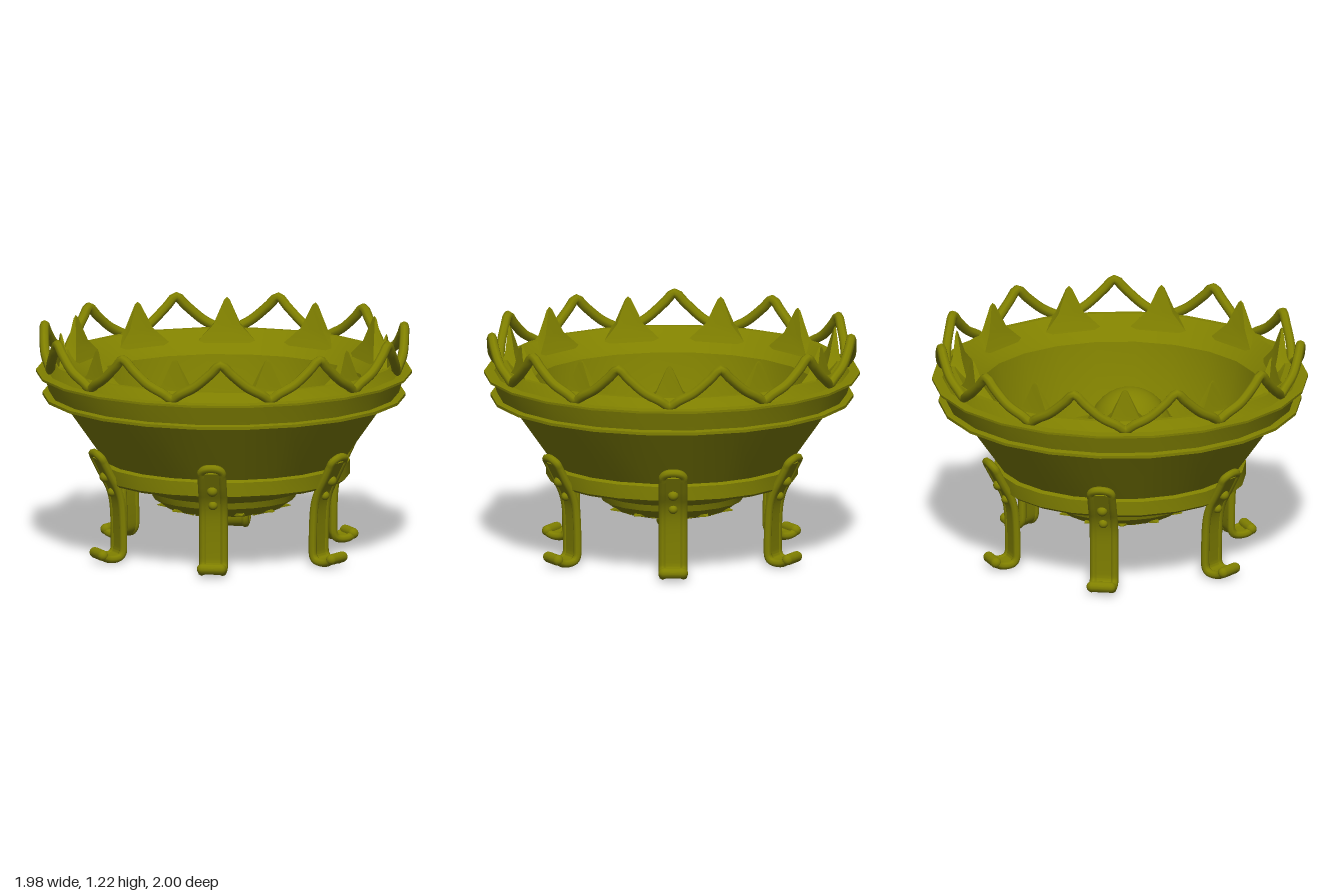
import * as THREE from 'three';
import { toCreasedNormals } from 'three/addons/utils/BufferGeometryUtils.js';

const mat = new THREE.MeshStandardMaterial({ color: 0x808000, side: THREE.DoubleSide });
const v2 = ([x, y]) => new THREE.Vector2(x, y);
const v3 = ([x, y, z]) => new THREE.Vector3(x, y, z);
const POINTS = 11;

function add(parent, name, geometry, x = 0, y = 0, z = 0) {
  const mesh = new THREE.Mesh(geometry, mat);
  mesh.name = name;
  mesh.position.set(x, y, z);
  parent.add(mesh);
  return mesh;
}

// Group whose local +x points outwards at an angle measured from +x towards +z
function spoke(parent, name, angle) {
  const g = new THREE.Group();
  g.name = name;
  g.rotation.y = -angle;
  parent.add(g);
  return g;
}

// Closed bowl section: hollow underside, dish, band, flared wall, rim, inside
function bowlGeometry() {
  const profile = [
    [0, 0.36], [0.18, 0.33], [0.25, 0.27], [0.27, 0.245], [0.31, 0.25], [0.34, 0.275],
    [0.38, 0.3], [0.39, 0.335], [0.46, 0.36], [0.55, 0.41], [0.65, 0.41], [0.67, 0.425],
    [0.67, 0.5], [0.645, 0.51], [0.885, 0.85], [0.965, 0.845], [0.965, 0.86], [0.93, 0.865],
    [0.96, 0.965], [1, 0.97], [1, 0.982], [0.945, 0.985], [0.91, 1.035], [0.88, 1.035],
    [0.77, 0.94], [0.75, 0.92], [0.7, 0.7], [0.62, 0.53], [0.5, 0.46], [0, 0.44],
  ].map(v2);
  return toCreasedNormals(new THREE.LatheGeometry(profile, 22), 0.5);
}

// Lumpy bed: a disc lifted by rounded mounds
function bedGeometry() {
  // x, z, radius, height
  const mounds = [
    [0, -0.46, 0.22, 0.24], [-0.42, -0.05, 0.17, 0.18], [0.44, -0.2, 0.2, 0.12],
    [0.15, 0.03, 0.18, 0.12], [0.09, 0.35, 0.23, 0.25], [-0.05, -0.04, 0.24, 0.1],
    [-0.35, -0.28, 0.13, 0.05], [-0.32, 0.2, 0.12, 0.06], [0.26, -0.28, 0.2, 0.06],
  ];
  const geo = new THREE.RingGeometry(0.001, 0.64, 72, 32);
  geo.rotateX(-Math.PI / 2);
  const p = geo.attributes.position;
  for (let i = 0; i < p.count; i++) {
    const x = p.getX(i), z = p.getZ(i);
    let top = 0, soft = 0;
    for (const [mx, mz, r, h] of mounds) {
      const d2 = ((x - mx) ** 2 + (z - mz) ** 2) / (r * r);
      top = Math.max(top, h * Math.sqrt(Math.max(0, 1 - d2)));
      soft += h * 0.45 * Math.exp(-d2 * 0.9);
    }
    p.setY(i, 0.54 + Math.max(top, soft));
  }
  geo.computeVertexNormals();
  return geo;
}

// Wavy crown wire rising to a peak and dipping to a valley
function crownGeometry() {
  const half = Math.PI / POINTS;
  // fraction of the half step from the peak, height, radius
  const side = [[0, 1.195, 0.965], [0.2, 1.145, 0.96], [0.52, 1.07, 0.95], [0.82, 1.025, 0.935], [1, 0.995, 0.925]];
  const pts = [];
  const put = (a, y, r) => pts.push(v3([r * Math.cos(a), y, r * Math.sin(a)]));
  for (let k = 0; k < POINTS; k++) {
    const a = k * 2 * half;
    for (const [f, y, r] of side) put(a + f * half, y, r);
    for (const [f, y, r] of side.slice(1, -1).reverse()) put(a + (2 - f) * half, y, r);
  }
  return new THREE.TubeGeometry(new THREE.CatmullRomCurve3(pts, true), 352, 0.026, 8, true);
}

// Four-sided point with slightly hollow sides, unit size
function spikeGeometry() {
  const geo = new THREE.LatheGeometry([[1, 0], [0.43, 0.4], [0.09, 0.94], [0, 1]].map(v2), 4);
  geo.rotateY(Math.PI / 4);
  geo.scale(Math.SQRT2, 1, Math.SQRT2);
  return toCreasedNormals(geo, 0.5);
}

// Strap centre line (radius, height) from top to curled toe
const legLine = new THREE.SplineCurve([
  [0.74, 0.57], [0.69, 0.475], [0.645, 0.39], [0.622, 0.29], [0.615, 0.1],
  [0.622, 0.045], [0.65, 0.025], [0.7, 0.025], [0.735, 0.042],
].map(v2));

// Flat strap extruded from the offset centre line
function strapGeometry(width, thick) {
  const front = [], back = [];
  for (let i = 0; i <= 40; i++) {
    const p = legLine.getPoint(i / 40), t = legLine.getTangent(i / 40);
    const n = new THREE.Vector2(-t.y, t.x).multiplyScalar(thick / 2);
    front.push(p.clone().add(n));
    back.unshift(p.clone().sub(n));
  }
  const geo = new THREE.ExtrudeGeometry(new THREE.Shape([...front, ...back]), { depth: width, bevelEnabled: false });
  geo.translate(0, 0, -width / 2);
  return toCreasedNormals(geo, 0.6);
}

// Raised rail running round the whole edge of the strap
function railGeometry(halfWidth) {
  const line = legLine.getPoints(24);
  const left = line.map((p) => v3([p.x, p.y, halfWidth]));
  const right = line.map((p) => v3([p.x, p.y, -halfWidth])).reverse();
  const arch = [[0.753, 0.588, -0.035], [0.755, 0.593, 0], [0.753, 0.588, 0.035]].map(v3);
  const curve = new THREE.CatmullRomCurve3([...left, ...right, ...arch], true);
  return new THREE.TubeGeometry(curve, 150, 0.022, 8, true);
}

export function createModel() {
  const model = new THREE.Group();
  model.name = 'footedBowl';
  add(model, 'bowl', bowlGeometry());
  add(model, 'lumpyBed', bedGeometry());
  add(model, 'crownWire', crownGeometry());

  // Inner rim spikes between the crown peaks, and small leaves under the dish
  const spike = spikeGeometry();
  for (let k = 0; k < POINTS; k++) {
    const g = spoke(model, 'spikeSpoke', (k + 0.5) * 2 * Math.PI / POINTS);
    const s = add(g, 'rimSpike', spike, 0.855, 0.965, 0);
    s.scale.set(0.06, 0.24, 0.165);
    s.rotation.z = -0.08;
    const leaf = add(g, 'baseLeaf', spike, 0.27, 0.26, 0);
    leaf.scale.set(0.022, 0.09, 0.075);
    leaf.rotation.z = -Math.PI / 2;
  }

  // Six strap legs with rails, rivets and rolled toes
  const strap = strapGeometry(0.12, 0.03);
  const rail = railGeometry(0.055);
  const rivet = new THREE.SphereGeometry(0.029, 16, 12);
  const toe = new THREE.CapsuleGeometry(0.029, 0.1, 6, 12);
  toe.rotateX(Math.PI / 2);
  for (let k = 0; k < 6; k++) {
    const leg = spoke(model, 'leg', Math.PI / 12 + k * Math.PI / 3);
    add(leg, 'strap', strap);
    add(leg, 'edgeRail', rail);
    add(leg, 'upperRivet', rivet, 0.697, 0.46, 0);
    add(leg, 'lowerRivet', rivet, 0.655, 0.375, 0).scale.setScalar(0.85);
    add(leg, 'toe', toe, 0.733, 0.045, 0);
  }
  return model;
}
